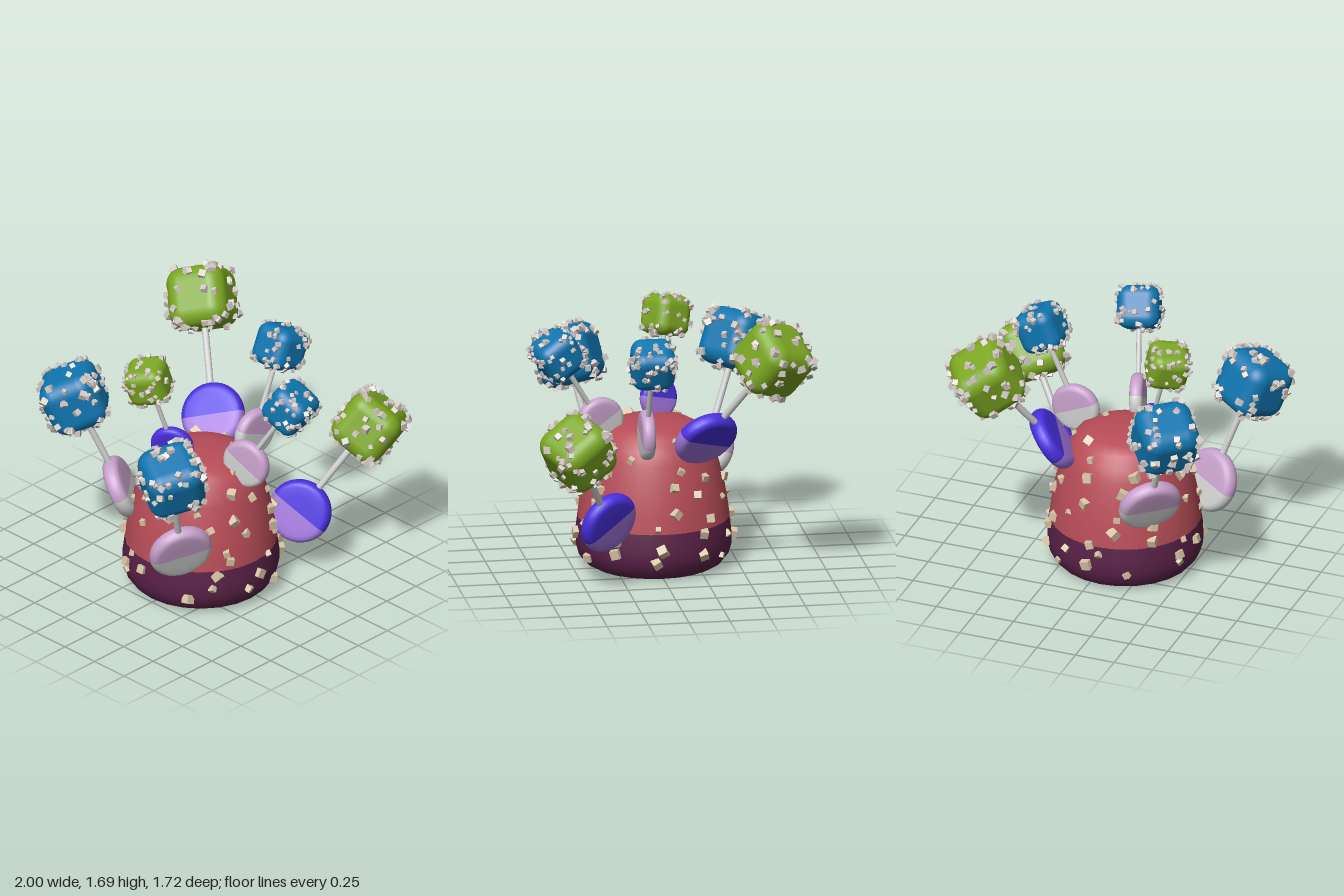
import * as THREE from 'three';
import { mergeGeometries } from 'three/addons/utils/BufferGeometryUtils.js';
import { RoundedBoxGeometry } from 'three/addons/geometries/RoundedBoxGeometry.js';

const mat = (name, color) => {
  const m = new THREE.MeshStandardMaterial({ color });
  m.name = name;
  return m;
};

// Small seeded random generator
function seeded(seed) {
  let s = seed;
  return () => {
    s = (s * 16807) % 2147483647;
    return s / 2147483647;
  };
}

function add(parent, name, geometry, material) {
  const mesh = new THREE.Mesh(geometry, material);
  mesh.name = name;
  parent.add(mesh);
  return mesh;
}

// A tumbled little cube at a point
function stud(p, size, rnd) {
  const g = new THREE.BoxGeometry(size, size, size);
  g.rotateX(rnd() * 6.28).rotateY(rnd() * 6.28).rotateZ(rnd() * 6.28);
  return g.translate(p.x, p.y, p.z);
}

// Studs scattered over the surface of a rounded cube
function cubeStuds(side, radius, count, rnd) {
  const list = [];
  const h = side / 2, inner = h - radius;
  const clamp = (v) => Math.max(-inner, Math.min(inner, v));
  for (let i = 0; i < count; i++) {
    const c = [(rnd() - 0.5) * side, (rnd() - 0.5) * side];
    const axis = i % 3;
    c.splice(axis, 0, i % 6 < 3 ? h : -h);
    const p = new THREE.Vector3(...c);
    const q = new THREE.Vector3(clamp(p.x), clamp(p.y), clamp(p.z));
    const out = p.sub(q).normalize().multiplyScalar(radius + 0.003);
    list.push(stud(q.add(out), side * (0.07 + 0.045 * rnd()), rnd));
  }
  return mergeGeometries(list);
}

export function createModel() {
  const model = new THREE.Group();
  model.name = 'studdedPodPlant';
  const red = mat('dome red', 0xb84d58);
  const plum = mat('base plum', 0x5a2148);
  const blue = mat('head blue', 0x0f76b0);
  const green = mat('head green', 0x7ca722);
  const violet = mat('disc violet', 0x4a2fe0);
  const lilac = mat('disc lilac', 0xa076dc);
  const pink = mat('disc pink', 0xc8a2cc);
  const grey = mat('pale grey', 0xd0cfd0);
  const tan = mat('stud tan', 0xd8c4a6);
  const stone = mat('stud stone', 0xd2c9c4);
  const rnd = seeded(4711);
  const V2 = (p) => new THREE.Vector2(p[0], p[1]);

  // Body: dark base and red dome
  const body = new THREE.Group();
  body.name = 'body';
  body.position.x = -0.08;
  model.add(body);
  const basePts = [[0.375, 0], [0.42, 0.025], [0.455, 0.07], [0.472, 0.13], [0.473, 0.2], [0.46, 0.3]].map(V2);
  const domePts = [[0.46, 0.3], [0.447, 0.4], [0.43, 0.5], [0.405, 0.6], [0.377, 0.7], [0.345, 0.78],
    [0.295, 0.845], [0.23, 0.882], [0.13, 0.9], [0, 0.905]].map(V2);
  add(body, 'base', new THREE.LatheGeometry(basePts, 24), plum);
  add(body, 'baseUnderside', new THREE.CircleGeometry(0.375, 24).rotateX(Math.PI / 2), plum);
  add(body, 'dome', new THREE.LatheGeometry(domePts, 32), red);

  // Tan studs around the body, spread by a golden angle with jitter
  const bodyStuds = [];
  const profile = [...basePts.slice(2), ...domePts.slice(1)];
  const count = 72;
  for (let i = 0; i < count; i++) {
    const y = 0.1 + 0.8 * Math.pow((i + rnd() * 0.8) / count, 1.15);
    let k = 0;
    while (k < profile.length - 2 && profile[k + 1].y < y) k++;
    const a = profile[k], b = profile[k + 1];
    const r = a.x + (b.x - a.x) * Math.min(1, (y - a.y) / (b.y - a.y));
    const ang = i * 2.4 + rnd() * 0.6;
    const p = new THREE.Vector3(Math.sin(ang) * r, y, Math.cos(ang) * r);
    bodyStuds.push(stud(p, 0.028 + 0.03 * rnd(), rnd));
  }
  add(body, 'bodyStuds', mergeGeometries(bodyStuds), tan);

  // Pods: disc centre, head centre, disc face direction, disc radius, head side
  const pods = [
    { name: 'backRightPod', at: [-0.385, 0.61, -0.37], head: [-0.57, 1.22, -0.59], face: [-0.6, -0.43, -0.69], r: 0.195, side: 0.355, kind: 0 },
    { name: 'frontRightPod', at: [-0.53, 0.48, 0.27], head: [-0.75, 1.125, 0.41], face: [-0.42, -0.32, 0.85], r: 0.195, side: 0.355, kind: 0 },
    { name: 'frontPod', at: [-0.03, 0.91, 0.335], head: [0.07, 1.37, 0.61], face: [0.96, -0.05, -0.26], r: 0.153, side: 0.26, kind: 0 },
    { name: 'leftPod', at: [0.28, 0.905, 0.1], head: [0.5, 1.41, 0.1], face: [0, 0.04, 1], r: 0.153, side: 0.26, kind: 0 },
    { name: 'frontLeftPod', at: [0.41, 0.405, 0.355], head: [0.76, 0.955, 0.597], face: [0.82, -0.3, -0.5], r: 0.195, side: 0.36, kind: 1 },
    { name: 'backLeftPod', at: [0.29, 0.87, -0.26], head: [0.567, 1.425, -0.625], face: [0.77, -0.57, -0.28], r: 0.2, side: 0.37, kind: 1 },
    { name: 'topPod', at: [-0.265, 0.975, -0.06], head: [-0.403, 1.45, -0.128], face: [0.84, 0.18, -0.5], r: 0.133, side: 0.245, kind: 1 },
  ];
  const kinds = [[blue, pink, grey], [green, violet, lilac]];

  for (const pod of pods) {
    const [headMat, upperMat, lowerMat] = kinds[pod.kind];
    const at = new THREE.Vector3(...pod.at);
    const along = new THREE.Vector3(...pod.head).sub(at);
    const length = along.length();
    along.normalize();
    const face = new THREE.Vector3(...pod.face);
    face.addScaledVector(along, -face.dot(along)).normalize();
    const side = new THREE.Vector3().crossVectors(along, face);

    // Local frame: x runs along the stem, y is the disc axis
    const g = new THREE.Group();
    g.name = pod.name;
    g.quaternion.setFromRotationMatrix(new THREE.Matrix4().makeBasis(along, face, side));
    g.position.copy(at);
    model.add(g);

    // Two-tone disc with a rounded rim
    const r = pod.r, t = r * 0.27;
    const rim = [[0, -t], [r * 0.5, -t], [r * 0.78, -t * 0.97]];
    for (let i = 1; i < 8; i++) {
      const a = -Math.PI / 2 + (i / 8) * Math.PI;
      rim.push([r * 0.8 + r * 0.2 * Math.cos(a), t * 0.95 * Math.sin(a)]);
    }
    rim.push([r * 0.78, t * 0.97], [r * 0.5, t], [0, t]);
    const pts = rim.map(V2);
    add(g, 'discUpperHalf', new THREE.LatheGeometry(pts, 16, 0, Math.PI), upperMat);
    add(g, 'discLowerHalf', new THREE.LatheGeometry(pts, 16, Math.PI, Math.PI), lowerMat);

    // Stem
    const stem = new THREE.CylinderGeometry(r * 0.105, r * 0.105, length, 12);
    stem.rotateZ(-Math.PI / 2).translate(length / 2, 0, 0);
    add(g, 'stem', stem, grey);

    // Rounded cube head with its studs
    const radius = pod.side * 0.27;
    const head = add(g, 'head', new RoundedBoxGeometry(pod.side, pod.side, pod.side, 4, radius), headMat);
    const studs = add(g, 'headStuds', cubeStuds(pod.side, radius, 78, rnd), stone);
    head.position.x = studs.position.x = length;
  }
  return model;
}
